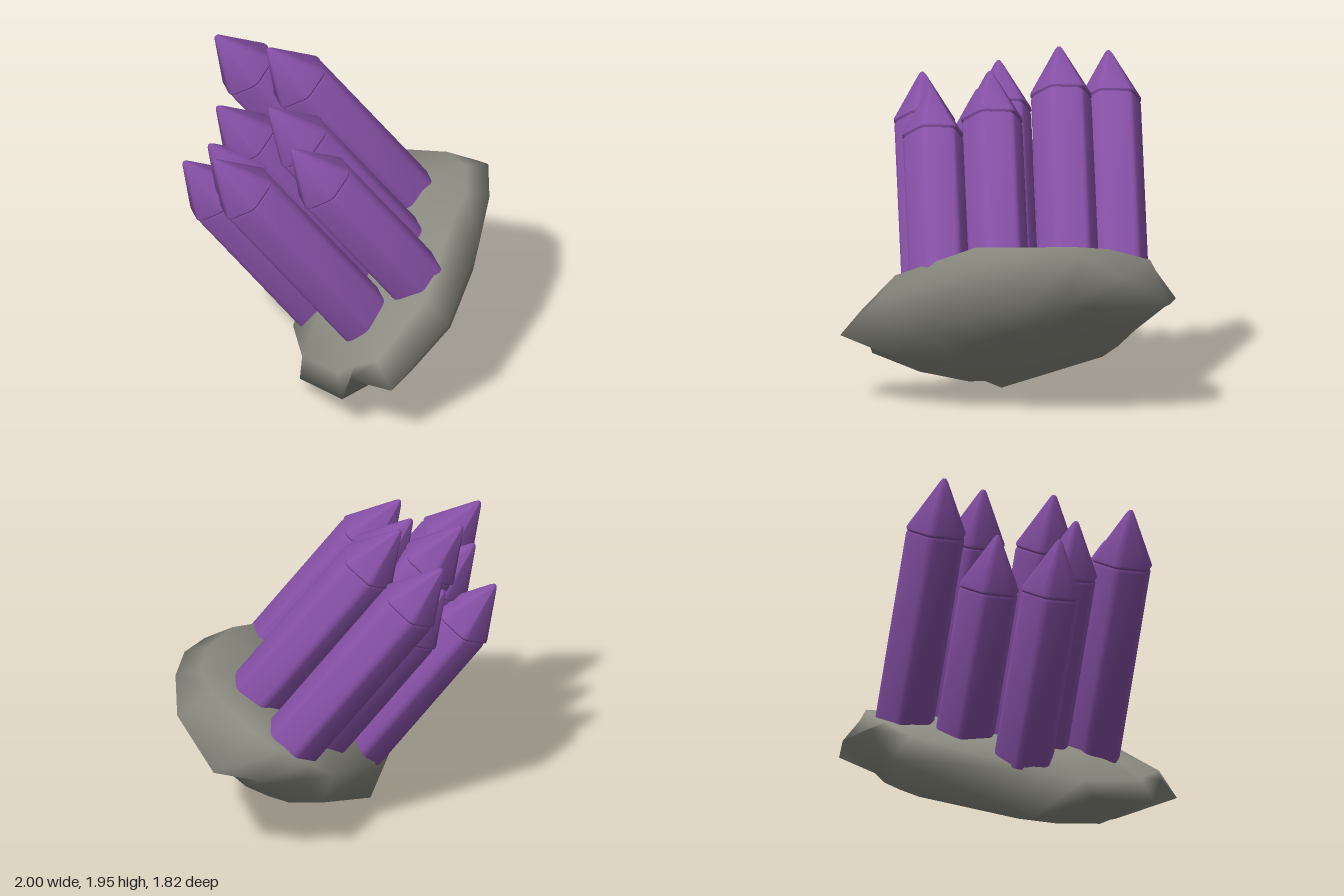
import * as THREE from 'three';
import { toCreasedNormals } from 'three/addons/utils/BufferGeometryUtils.js';

const V = (x, y, z) => new THREE.Vector3(x, y, z);

// Common tilted frame: axis is the crystal direction, u and w span the rock's disc
const axis = V(-0.48, 0.8, -0.36).normalize();
const u = V(0.87, 0.47, -0.1).addScaledVector(axis, -V(0.87, 0.47, -0.1).dot(axis)).normalize();
const w = axis.clone().cross(u);

// Skin stacked closed rings (counterclockwise about the upward direction)
function loft(rings) {
  const n = rings[0].length, pos = [], idx = [];
  rings.forEach(r => r.forEach(p => pos.push(p.x, p.y, p.z)));
  for (let j = 0; j < rings.length - 1; j++) {
    for (let i = 0; i < n; i++) {
      const a = j * n + i, b = j * n + (i + 1) % n;
      idx.push(a, b, b + n, a, b + n, a + n);
    }
  }
  // close both ends with a fan around the ring centre
  [0, rings.length - 1].forEach((j, end) => {
    const c = rings[j].reduce((s, p) => s.add(p), V(0, 0, 0)).divideScalar(n);
    const k = pos.length / 3;
    pos.push(c.x, c.y, c.z);
    for (let i = 0; i < n; i++) {
      const a = j * n + i, b = j * n + (i + 1) % n;
      if (end) idx.push(a, b, k); else idx.push(b, a, k);
    }
  });
  const g = new THREE.BufferGeometry();
  g.setAttribute('position', new THREE.Float32BufferAttribute(pos, 3));
  g.setIndex(idx);
  g.computeVertexNormals();
  return g;
}

// Hexagon with rounded corners, slightly narrower across its flats
function hexRing(scale, y) {
  const pts = [];
  for (let k = 0; k < 6; k++) {
    for (const [deg, r] of [[-8, 0.177], [0, 0.182], [8, 0.177]]) {
      const t = (k * 60 + deg) * Math.PI / 180;
      pts.push(V(Math.cos(t) * r * scale, y, -Math.sin(t) * r * scale * 0.95));
    }
  }
  return pts;
}
const hexPrism = profile =>
  toCreasedNormals(loft(profile.map(([s, y]) => hexRing(s, y))), 0.68);

export function createModel() {
  const purple = new THREE.MeshStandardMaterial({ color: 0x8650a6 });
  purple.name = 'crystal purple';
  const grey = new THREE.MeshStandardMaterial({ color: 0x8c8c82 });
  grey.name = 'stone grey';
  const model = new THREE.Group();
  model.name = 'crystalCluster';

  // Rock base: an irregular rim (x, y, z, height of the shoulder above it)
  const rimData = [
    [-0.63, 0.23, 0.54, 0.39], [-0.63, 0.39, 0.6, 0.39], [-0.55, 0.39, 0.85, 0.41],
    [-0.14, 0.68, 0.91, 0.44], [0.38, 0.9, 0.66, 0.47], [0.65, 0.98, 0.48, 0.41],
    [0.87, 1, 0.26, 0.39], [1, 0.87, 0.06, 0.41], [1, 0.66, -0.3, 0.46],
    [0.82, 0.64, -0.5, 0.48], [0.56, 0.61, -0.59, 0.48], [0.42, 0.39, -0.55, 0.45],
    [-0.24, 0, -0.1, 0.41], [-0.52, 0.12, 0.1, 0.39],
  ];
  const rim = rimData.map(([x, y, z]) => V(x, y, z));
  const inner = (scale, height) => rim.map((p, i) => V(0, 0, 0)
    .addScaledVector(u, 0.42 + (p.dot(u) - 0.42) * scale)
    .addScaledVector(w, -0.3 + (p.dot(w) + 0.3) * scale)
    .addScaledVector(axis, height(i)));
  const rock = new THREE.Mesh(loft([
    inner(0.35, () => 0.06), inner(0.69, () => 0.095), rim,
    inner(0.88, i => rimData[i][3]), inner(0.55, () => 0.5),
  ]), grey);
  rock.name = 'rockBase';
  model.add(rock);

  // Crystals, each placed by its tip
  const tips = [
    [-0.2, 1.87, -0.87], [-0.18, 1.95, -0.48], [-0.39, 1.55, -0.62],
    [-0.46, 1.8, -0.2], [-0.605, 1.73, 0.12], [-0.98, 1.72, -0.14],
    [-0.65, 1.8, -0.43], [-0.79, 1.43, -0.56], [-0.77, 1.62, -0.38],
  ];
  const capHeight = 0.32, rootHeight = 0.4;
  const capGeo = hexPrism([[0.95, -capHeight - 0.006], [1.015, -capHeight + 0.006],
    [1.01, -capHeight + 0.018], [0.13, -0.02], [0.06, -0.004]]);
  const frame = new THREE.Matrix4().makeBasis(u, axis, w.clone().negate());
  tips.forEach(t => {
    const crystal = new THREE.Group();
    crystal.name = 'crystal';
    crystal.position.set(...t);
    crystal.quaternion.setFromRotationMatrix(frame);
    const bottom = rootHeight - crystal.position.dot(axis);
    const body = new THREE.Mesh(
      hexPrism([[1, bottom], [1, -capHeight - 0.022], [0.95, -capHeight - 0.004]]), purple);
    body.name = 'crystalBody';
    const cap = new THREE.Mesh(capGeo, purple);
    cap.name = 'crystalTip';
    crystal.add(body, cap);
    model.add(crystal);
  });
  return model;
}
